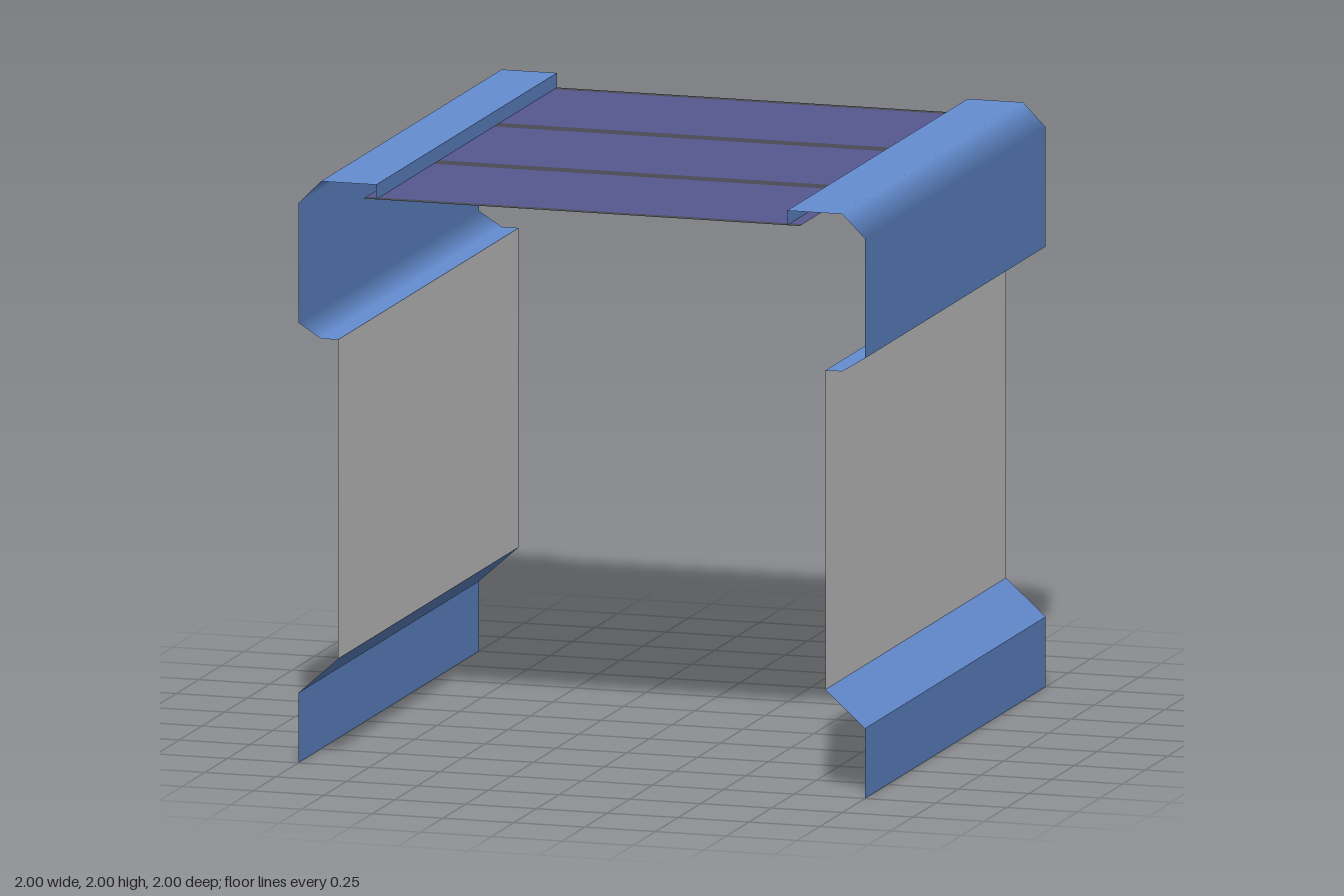
import * as THREE from 'three';

const mat = (name, color) =>
  new THREE.MeshStandardMaterial({ name, color, side: THREE.DoubleSide });

// Sweeps a profile of [x, y, nx?, ny?] points along z as a thin sheet.
// Segments are flat unless their points carry normals of their own.
function sheet(name, profile, material, z0 = -1, z1 = 1, side = 1) {
  const pos = [], nor = [], idx = [];
  for (let i = 0; i + 1 < profile.length; i++) {
    const p = profile[i], q = profile[i + 1];
    const dx = q[0] - p[0], dy = q[1] - p[1], len = Math.hypot(dx, dy);
    const base = pos.length / 3;
    for (const [pt, z] of [[p, z1], [p, z0], [q, z0], [q, z1]]) {
      const n = pt.length > 2 ? [pt[2], pt[3]] : [dy / len, -dx / len];
      pos.push(pt[0] * side, pt[1], z);
      nor.push(n[0] * side, n[1], 0);
    }
    const order = side > 0 ? [0, 1, 2, 0, 2, 3] : [0, 2, 1, 0, 3, 2];
    idx.push(...order.map((k) => base + k));
  }
  const g = new THREE.BufferGeometry();
  g.setAttribute('position', new THREE.Float32BufferAttribute(pos, 3));
  g.setAttribute('normal', new THREE.Float32BufferAttribute(nor, 3));
  g.setIndex(idx);
  const mesh = new THREE.Mesh(g, material);
  mesh.name = name;
  return mesh;
}

export function createModel() {
  const blue = mat('blue trim', 0x658ed2);
  const grey = mat('light grey panel', 0xd0d0d0);
  const purple = mat('purple ceiling', 0x56588f);
  const dark = mat('dark grey strip', 0x4b4b55);

  const model = new THREE.Group();
  model.name = 'corridorSection';

  // Side walls, mirrored
  for (const side of [1, -1]) {
    const wall = new THREE.Group();
    wall.name = side > 0 ? 'leftWall' : 'rightWall';
    // skirting with a sloped ledge
    wall.add(sheet('skirting', [[1, 0], [1, 0.24], [0.86, 0.365]], blue, -1, 1, side));
    wall.add(sheet('wallPanel', [[0.86, 0.365], [0.86, 1.46]], grey, -1, 1, side));
    // upper rail with softly shaded bevels
    wall.add(sheet('upperRail', [
      [0.86, 1.46, 0, -1], [0.92, 1.46, 0, -1],
      [1, 1.51, 1, 0], [1, 1.92, 1, 0],
      [0.92, 2, 0, 1], [0.725, 2, 0, 1],
    ], blue, -1, 1, side));
    wall.add(sheet('railLip', [[0.725, 2], [0.725, 1.95]], blue, -1, 1, side));
    model.add(wall);
  }

  // Ceiling: purple panels between dark cross strips
  const ceiling = new THREE.Group();
  ceiling.name = 'ceiling';
  const cuts = [-1, -0.968, -0.365, -0.302, 0.302, 0.365, 0.968, 1];
  for (let i = 0; i + 1 < cuts.length; i++) {
    const strip = i % 2 === 0;
    ceiling.add(sheet(strip ? 'ceilingStrip' : 'ceilingPanel',
      [[0.77, 1.95], [-0.77, 1.95]], strip ? dark : purple, cuts[i], cuts[i + 1]));
  }
  model.add(ceiling);
  return model;
}
